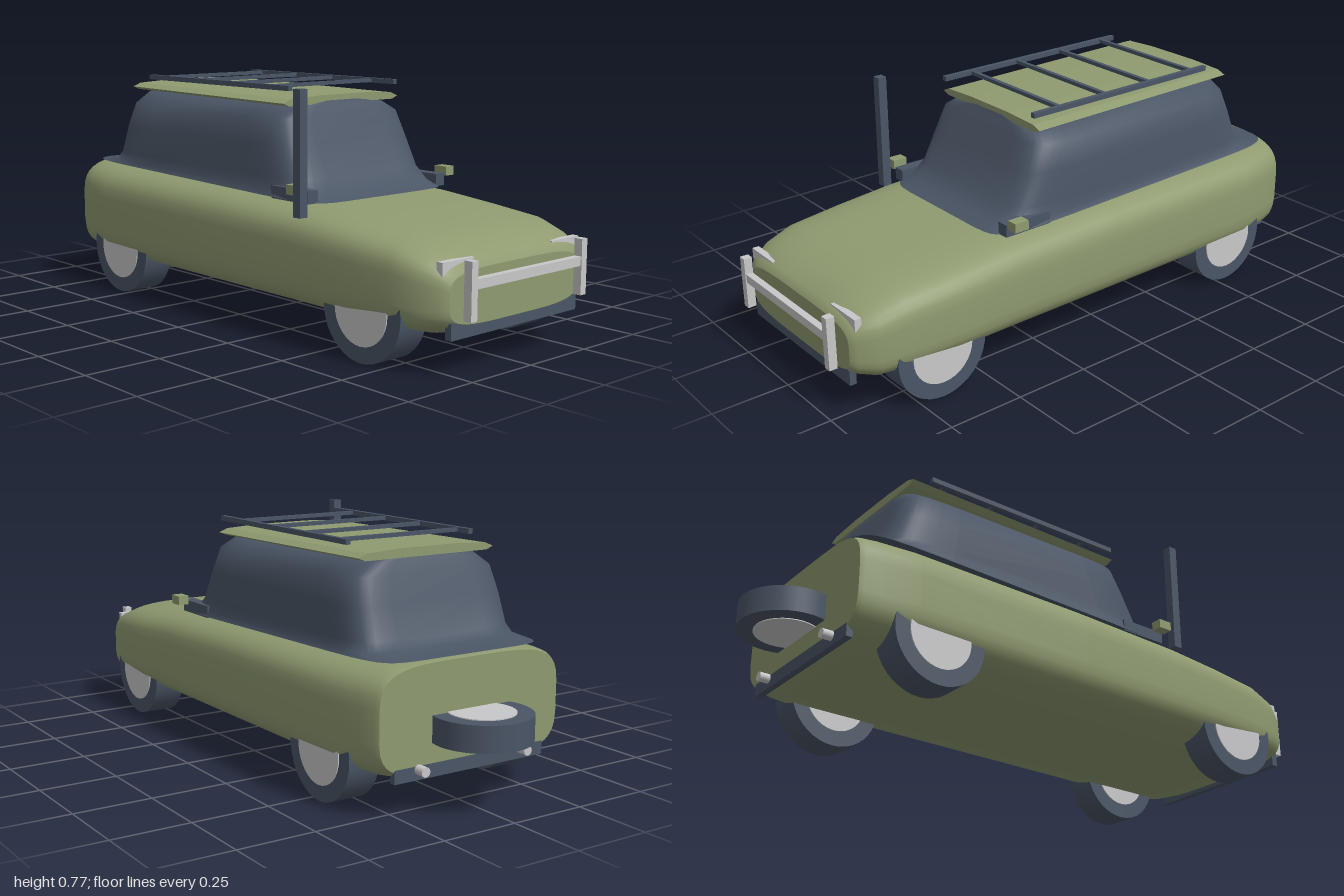
import * as THREE from 'three';

const paint = new THREE.MeshStandardMaterial({ name: 'olivePaint', color: 0x8f9a70 });
const dark = new THREE.MeshStandardMaterial({ name: 'darkSlate', color: 0x4a5565 });
const metal = new THREE.MeshStandardMaterial({ name: 'lightMetal', color: 0xc8c8ca });

// Closed superellipse outline as [u, v] pairs; a larger n is squarer
function outline(hu, hv, n, count = 40) {
  const p = 2 / n;
  return Array.from({ length: count }, (_, j) => {
    const a = ((j + 0.5) / count) * Math.PI * 2;
    const c = Math.cos(a), s = Math.sin(a);
    return [hu * Math.sign(c) * Math.abs(c) ** p, hv * Math.sign(s) * Math.abs(s) ** p];
  });
}

// Smooth skin over rings of points, with flat caps at both ends
function loft(rings) {
  const n = rings[0].length, pos = rings.flat(2), index = [];
  for (let i = 0; i < rings.length - 1; i++) {
    for (let j = 0; j < n; j++) {
      const k = (j + 1) % n;
      const a = i * n + j, b = i * n + k, c = a + n, d = b + n;
      index.push(a, c, b, b, c, d);
    }
  }
  [rings[0], rings[rings.length - 1]].forEach((ring, end) => {
    const base = pos.length / 3;
    pos.push(...ring.flat());
    pos.push(...[0, 1, 2].map((k) => ring.reduce((sum, p) => sum + p[k], 0) / n));
    for (let j = 0; j < n; j++) {
      const a = base + j, b = base + ((j + 1) % n);
      index.push(base + n, end ? b : a, end ? a : b);
    }
  });
  const g = new THREE.BufferGeometry();
  g.setAttribute('position', new THREE.Float32BufferAttribute(pos, 3));
  g.setIndex(index);
  g.computeVertexNormals();
  return g;
}

export function createModel() {
  const model = new THREE.Group();
  model.name = 'offRoadCar';

  const add = (name, geometry, material, x = 0, y = 0, z = 0, parent = model) => {
    const m = new THREE.Mesh(geometry, material);
    m.name = name;
    m.position.set(x, y, z);
    parent.add(m);
    return m;
  };
  // Box given by its low and high corners
  const box = (name, material, [x0, y0, z0], [x1, y1, z1]) =>
    add(name, new THREE.BoxGeometry(x1 - x0, y1 - y0, z1 - z0), material,
      (x0 + x1) / 2, (y0 + y1) / 2, (z0 + z1) / 2);

  // Body: z, half width, bottom, top
  const body = [
    [0.945, 0.285, 0.14, 0.3], [0.93, 0.31, 0.125, 0.325], [0.87, 0.345, 0.106, 0.355],
    [0.78, 0.36, 0.1, 0.385], [0.6, 0.369, 0.1, 0.403], [0.4, 0.37, 0.1, 0.422],
    [0, 0.37, 0.1, 0.437], [-0.62, 0.366, 0.1, 0.447], [-0.74, 0.348, 0.103, 0.45],
    [-0.79, 0.336, 0.11, 0.449], [-0.805, 0.328, 0.12, 0.444],
  ];
  add('body', loft(body.map(([z, w, lo, hi]) =>
    outline(w, (hi - lo) / 2, 4.2).map(([x, y]) => [x, y + (lo + hi) / 2, z]))), paint);

  // Cabin: y at front, y at back, half width, front z, back z
  const cabin = [
    [0.42, 0.449, 0.305, 0.42, -0.79], [0.44, 0.458, 0.297, 0.37, -0.7],
    [0.48, 0.485, 0.292, 0.325, -0.67], [0.58, 0.58, 0.286, 0.275, -0.635],
    [0.66, 0.66, 0.27, 0.243, -0.607], [0.692, 0.7, 0.215, 0.226, -0.59],
    [0.708, 0.72, 0.11, 0.22, -0.58],
  ];
  add('cabin', loft(cabin.map(([yf, yb, w, zf, zb]) =>
    outline(w, (zf - zb) / 2, 9).map(([x, v]) => {
      const z = v + (zf + zb) / 2;
      return [x, yb + (yf - yb) * (z - zb) / (zf - zb), z];
    }))), dark);

  // Roof panel, slightly higher at the back
  const roofShape = new THREE.Shape([
    [-0.25, 0], [-0.225, -0.01], [0.225, -0.01], [0.25, 0],
    [0.22, 0.012], [0.1, 0.018], [-0.1, 0.018], [-0.22, 0.012],
  ].map(([x, y]) => new THREE.Vector2(x, y)));
  const roofGeo = new THREE.ExtrudeGeometry(roofShape, { depth: 0.81, bevelEnabled: false });
  add('roof', roofGeo, paint, 0, 0.717, -0.59).rotation.x = 0.012;

  // Roof rack
  for (const s of [-1, 1]) {
    box('rackRail', dark, [s * 0.229 - 0.008, 0.746, -0.51], [s * 0.229 + 0.008, 0.762, 0.23]);
  }
  for (let i = 0; i < 4; i++) {
    const z = 0.12 - i * 0.19;
    box('rackBar', dark, [-0.225, 0.748, z - 0.007], [0.225, 0.76, z + 0.007]);
  }

  // Snorkel
  box('snorkel', dark, [-0.36, 0.388, 0.39], [-0.33, 0.768, 0.42]);

  // Parts found on both sides
  for (const s of [-1, 1]) {
    const pair = (name, material, [x0, y0, z0], [x1, y1, z1]) =>
      box(name, material, [s > 0 ? x0 : -x1, y0, z0], [s > 0 ? x1 : -x0, y1, z1]);
    pair('mirror', paint, [0.308, 0.45, 0.34], [0.345, 0.48, 0.39]);
    pair('mirrorMount', dark, [0.26, 0.42, 0.22], [0.3, 0.46, 0.39]);
    pair('headlight', metal, [0.172, 0.29, 0.908], [0.3, 0.328, 0.93]);
    pair('bullBarPost', metal, [0.23, 0.167, 0.968], [0.255, 0.335, 0.995]);
    add('exhaust', new THREE.CylinderGeometry(0.015, 0.015, 0.06, 16), metal, s * 0.19, 0.14, -0.81)
      .rotation.x = Math.PI / 2;
  }

  // Bull bar and bumpers
  box('bullBarCrossbar', metal, [-0.24, 0.255, 0.97], [0.24, 0.283, 0.992]);
  box('frontBumper', dark, [-0.277, 0.109, 0.922], [0.277, 0.158, 0.944]);
  box('rearBumper', dark, [-0.275, 0.109, -0.806], [0.275, 0.15, -0.785]);

  // Wheels, with the axle along local y
  const wheel = (name, radius, width, hubRadius, hubWidth) => {
    const g = new THREE.Group();
    g.name = name;
    add('tyre', new THREE.CylinderGeometry(radius, radius, width, 40), dark, 0, 0, 0, g);
    add('hub', new THREE.CylinderGeometry(hubRadius, hubRadius, hubWidth, 32), metal, 0, 0, 0, g);
    model.add(g);
    return g;
  };
  for (const s of [-1, 1]) {
    for (const [name, z] of [['frontWheel', 0.67], ['rearWheel', -0.54]]) {
      const w = wheel(name, 0.155, 0.106, 0.105, 0.113);
      w.position.set(s * 0.298, 0.157, z);
      w.rotation.z = Math.PI / 2;
    }
  }
  wheel('spareWheel', 0.15, 0.08, 0.1, 0.086).position.set(0, 0.25, -0.85);

  return model;
}
